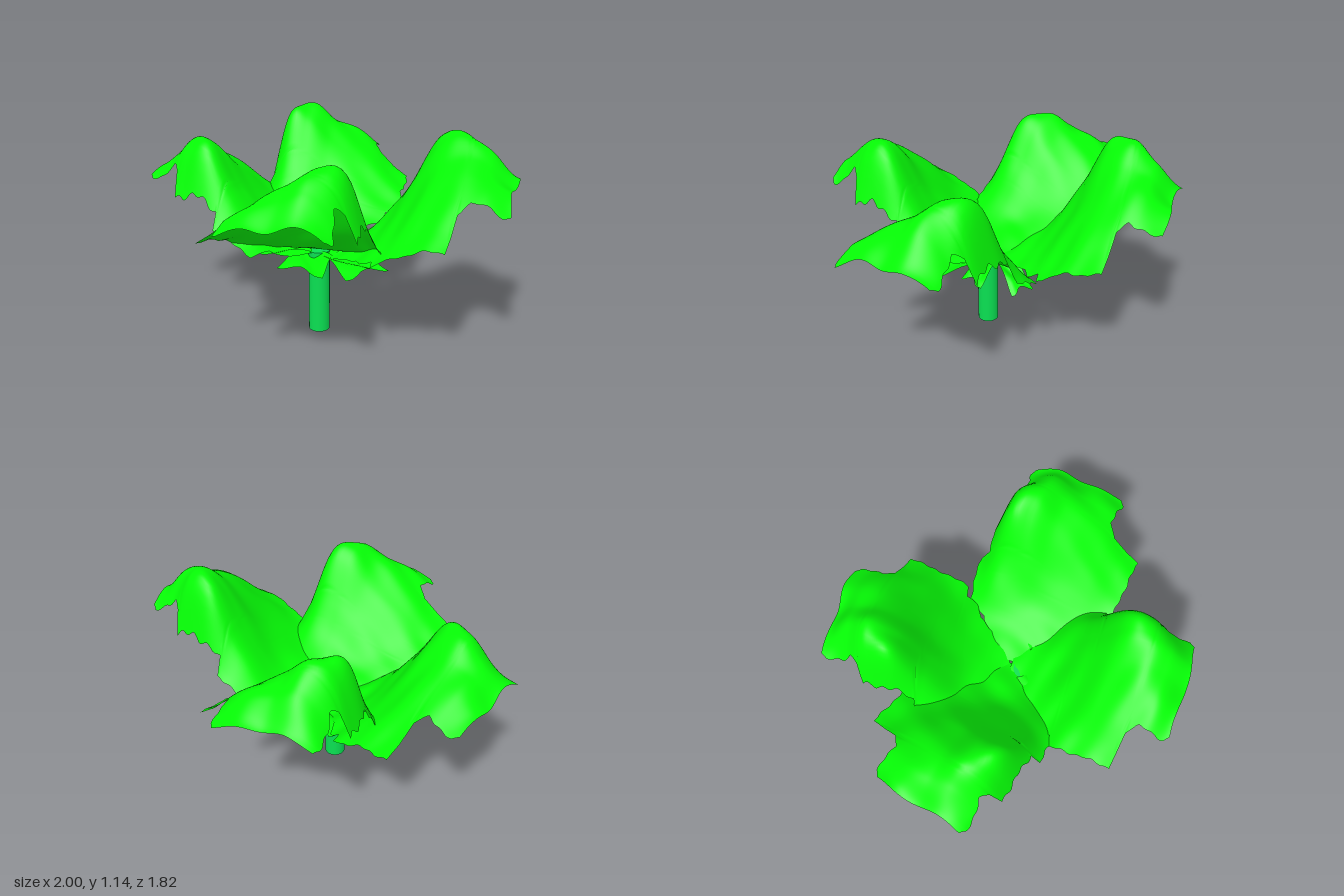
import * as THREE from 'three';

const leafMat = new THREE.MeshStandardMaterial({ color: 0x06ff06, side: THREE.DoubleSide });
const stemMat = new THREE.MeshStandardMaterial({ color: 0x0ae052 });

// Leaf height: rows run outward (u = 0 .. 0.98), columns run across (v = -0.5 .. 0.5)
const HEIGHT = [
  [.42, .43, .44, .45, .46, .46, .45, .43, .42],
  [.41, .44, .47, .49, .50, .50, .48, .45, .42],
  [.48, .51, .54, .56, .58, .61, .61, .54, .48],
  [.58, .60, .64, .69, .74, .80, .80, .62, .54],
  [.63, .68, .76, .84, .92, 1.03, 1.04, .66, .58],
  [.66, .73, .84, .93, 1.01, 1.10, 1.03, .67, .60],
  [.68, .75, .86, .94, .98, 1.02, .90, .68, .62],
  [.70, .75, .82, .88, .87, .90, .85, .74, .66],
];
// Stepped outline of both leaf edges as [u, v]
const EDGE_A = [[0, -.05], [.03, -.1], [.1, -.18], [.25, -.27], [.29, -.35], [.36, -.37], [.37, -.43], [.55, -.44], [.735, -.46], [.745, -.29], [.80, -.25], [.95, -.27], [.98, -.25]];
const EDGE_B = [[0, .05], [.03, .1], [.1, .18], [.18, .25], [.22, .36], [.45, .38], [.46, .33], [.745, .33], [.755, .28], [.80, .25], [.95, .27], [.98, .25]];

function cubic(p, t) {
  const n = p.length - 1;
  const i = Math.min(Math.floor(t), n - 1);
  const f = t - i;
  const a = p[Math.max(i - 1, 0)], b = p[i], c = p[i + 1], d = p[Math.min(i + 2, n)];
  return b + 0.5 * f * (c - a + f * (2 * a - 5 * b + 4 * c - d + f * (3 * (b - c) + d - a)));
}

function edgeAt(edge, u) {
  let i = 0;
  while (i < edge.length - 2 && edge[i + 1][0] < u) i++;
  const [u0, v0] = edge[i], [u1, v1] = edge[i + 1];
  return v0 + (v1 - v0) * (u - u0) / (u1 - u0);
}

function heightAt(u, v) {
  const tu = THREE.MathUtils.clamp(u / 0.14, 0, 7);
  const tv = THREE.MathUtils.clamp((v + 0.5) * 8, 0, 8);
  return cubic(HEIGHT.map(row => cubic(row, tv)), tu);
}

// Surface over an (i, j) grid, with rule(a, b) giving a point
function sheet(nu, nv, rule) {
  const pos = [], index = [];
  for (let i = 0; i <= nu; i++) {
    for (let j = 0; j <= nv; j++) {
      pos.push(...rule(i / nu, j / nv));
      if (i < nu && j < nv) {
        const k = i * (nv + 1) + j;
        index.push(k, k + nv + 1, k + 1, k + 1, k + nv + 1, k + nv + 2);
      }
    }
  }
  const g = new THREE.BufferGeometry();
  g.setAttribute('position', new THREE.Float32BufferAttribute(pos, 3));
  g.setIndex(index);
  g.computeVertexNormals();
  return g;
}

// One crumpled leaf pointing along +x, shifted sideways by offset
function leafGeometry(lift, offset, phase) {
  return sheet(98, 44, (a, b) => {
    const u = 0.98 * a;
    const rag = 0.004 * (Math.sin(u * 31 + phase) + Math.sin(u * 73));
    const v = THREE.MathUtils.lerp(edgeAt(EDGE_A, u) + rag, edgeAt(EDGE_B, u) - rag, b);
    const ripple = 0.006 * Math.sin(u * 17 + phase) * Math.sin(v * 19 + 2 * phase)
      + 0.004 * Math.sin(u * 34 - 12 * v + phase);
    const y = 0.46 + (heightAt(u, v) - 0.46) * lift + ripple;
    const tip = a > 0.8 ? 0.01 * Math.sin(v * 17 + phase) * (a - 0.8) * 5 : 0;
    return [u + tip, y, -v - offset];
  });
}

export function createModel() {
  const group = new THREE.Group();

  // Stem
  const stem = new THREE.Mesh(new THREE.CylinderGeometry(0.058, 0.058, 0.47, 24), stemMat);
  stem.position.set(-0.02, 0.235, 0.075);
  stem.name = 'stem';
  group.add(stem);

  // Four leaves: [name, heading, length scale, lift, sideways offset]
  const leaves = [
    ['leftLeaf', -0.03, 1.0, 1.02, 0],
    ['frontLeaf', -Math.PI / 2 + 0.02, 0.92, 0.96, 0.01],
    ['rightLeaf', Math.PI - 0.2, 0.98, 0.9, 0.06],
    ['backLeaf', Math.PI / 2 + 0.12, 0.92, 1.06, 0.08],
  ];
  leaves.forEach(([name, heading, length, lift, offset], i) => {
    const leaf = new THREE.Mesh(leafGeometry(lift, offset, i * 1.3), leafMat);
    leaf.rotation.y = heading;
    leaf.scale.x = length;
    leaf.name = name;
    group.add(leaf);
  });

  // Small torn flaps under the leaves: [heading, inner radius, outer radius, width, inner y, outer y]
  const flaps = [
    [1.05, 0.08, 0.25, 0.14, 0.46, 0.36],
    [-0.75, 0.12, 0.42, 0.26, 0.47, 0.46],
    [-1.8, 0.1, 0.28, 0.28, 0.46, 0.42],
    [-2.6, 0.1, 0.38, 0.24, 0.47, 0.51],
    [2.4, 0.12, 0.38, 0.22, 0.47, 0.5],
    [-0.3, 0.06, 0.2, 0.15, 0.45, 0.37],
  ];
  for (const [heading, r0, r1, width, y0, y1] of flaps) {
    const flap = new THREE.Mesh(sheet(10, 8, (a, b) => [
      r0 + (r1 - r0) * a + 0.015 * Math.sin(b * 9) * a,
      y0 + (y1 - y0) * a + 0.015 * Math.sin(a * 5 + b * 6),
      (b - 0.5) * width * (0.7 + 0.3 * a),
    ]), leafMat);
    flap.rotation.y = heading;
    flap.name = 'leafFlap';
    group.add(flap);
  }
  return group;
}
